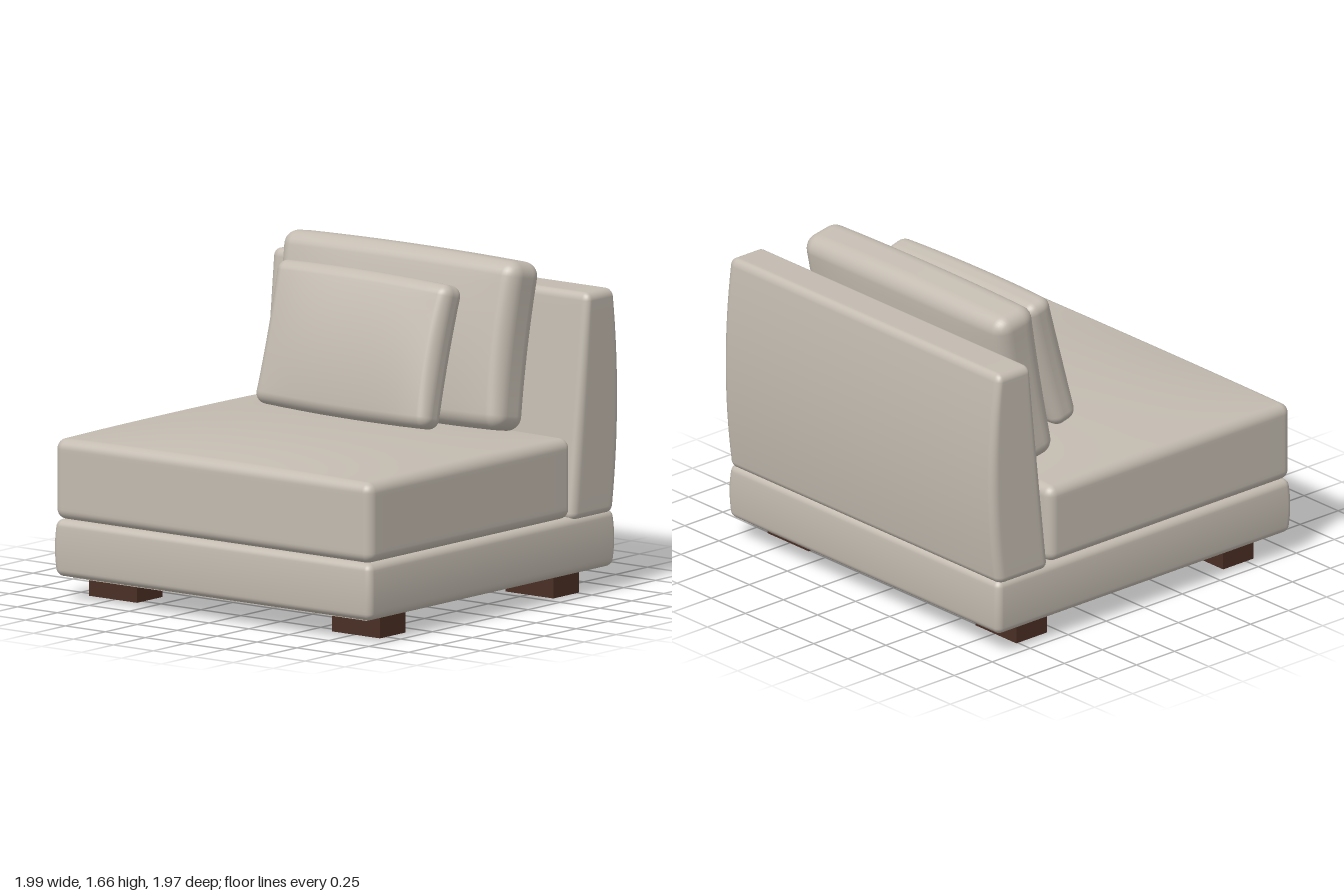
import * as THREE from 'three';
import { mergeVertices } from 'three/addons/utils/BufferGeometryUtils.js';

const SEGMENTS = 24; // per side, of which ROUND at each end form the rounded edge
const ROUND = 4;

// Rounded box with an evenly divided surface; shape(p, u, v, w) then bends each
// point, where u, v, w run from -1 to 1 across the width, height and depth.
function softBox(width, height, depth, radius, shape) {
  const half = new THREE.Vector3(width / 2, height / 2, depth / 2);
  const unit = new THREE.BoxGeometry(2, 2, 2, SEGMENTS, SEGMENTS, SEGMENTS);
  unit.deleteAttribute('normal');
  unit.deleteAttribute('uv');
  const geometry = mergeVertices(unit);
  const pos = geometry.attributes.position;
  const p = new THREE.Vector3();
  const core = new THREE.Vector3();
  const inner = half.clone().subScalar(radius);
  const outer = inner.clone().negate();

  const spread = (t, h) => {
    const steps = Math.abs(t) * SEGMENTS / 2;
    const fromEdge = SEGMENTS / 2 - steps;
    const distance = fromEdge < ROUND
      ? h - radius + radius * Math.tan(Math.PI / 4 * (1 - fromEdge / ROUND))
      : (h - radius) * steps / (SEGMENTS / 2 - ROUND);
    return Math.sign(t) * distance;
  };

  for (let i = 0; i < pos.count; i++) {
    p.fromBufferAttribute(pos, i);
    p.set(spread(p.x, half.x), spread(p.y, half.y), spread(p.z, half.z));
    core.copy(p).clamp(outer, inner);
    p.sub(core).setLength(radius).add(core);
    shape(p, p.x / half.x, p.y / half.y, p.z / half.z);
    pos.setXYZ(i, p.x, p.y, p.z);
  }
  geometry.computeVertexNormals();
  return geometry;
}

// Loose cushion: swollen in the middle with slightly drawn-in sides
function cushion(width, height, depth, radius, swell) {
  return softBox(width, height, depth, radius, (p, u, v, w) => {
    p.z += w * swell * (1 - u ** 4) * (1 - v * v);
    p.x *= 1 - 0.022 * (1 - v * v);
    p.y += v * 0.012 * (1 - u * u);
  });
}

export function createModel() {
  const model = new THREE.Group();
  const fabric = new THREE.MeshStandardMaterial({ color: 0xc3bbb0 });
  fabric.name = 'fabric';
  const wood = new THREE.MeshStandardMaterial({ color: 0x4a2e24 });
  wood.name = 'darkWood';

  const add = (name, geometry, material, x, y, z) => {
    const mesh = new THREE.Mesh(geometry, material);
    mesh.name = name;
    mesh.position.set(x, y, z);
    model.add(mesh);
    return mesh;
  };

  // Base with gently bulging sides
  add('base', softBox(1.97, 0.285, 1.92, 0.035, (p, u, v) => {
    const bulge = 1 + 0.01 * (1 - v * v);
    p.x *= bulge;
    p.z *= bulge;
  }), fabric, 0, 0.2575, 0.015);
  add('underside', new THREE.BoxGeometry(1.84, 0.03, 1.8), fabric, 0, 0.12, 0.015);

  // Seat cushion with a domed top
  add('seat', softBox(1.98, 0.4, 1.59, 0.05, (p, u, v, w) => {
    const dome = (1 - Math.abs(u) ** 2.4) * (1 - Math.abs(w) ** 2.4);
    p.y += Math.max(v, 0) * 0.06 * dome;
  }), fabric, 0, 0.6, 0.185);

  // Backrest: sloping front, curved rear
  add('backrest', softBox(1.98, 1.12, 0.3, 0.04, (p, u, v, w) => {
    const t = (v + 1) / 2;
    const front = THREE.MathUtils.lerp(-0.61, -0.735, t);
    const rear = -0.942 - 0.045 * (1 - v * v);
    p.z = THREE.MathUtils.lerp(rear, front, (w + 1) / 2);
  }), fabric, 0, 0.94, 0);

  // Two leaning cushions
  const large = add('backCushion', cushion(1.48, 0.83, 0.24, 0.075, 0.035),
    fabric, 0, 1.235, -0.52);
  large.rotation.x = -0.183;
  const small = add('smallCushion', cushion(1.09, 0.71, 0.15, 0.055, 0.038),
    fabric, -0.015, 1.21, -0.19);
  small.rotation.set(-0.262, 0, -0.01);

  // Four block legs
  for (const side of [-1, 1]) {
    for (const [end, z] of [['front', 0.7], ['rear', -0.66]]) {
      add(`${end}${side > 0 ? 'Left' : 'Right'}Leg`,
        new THREE.BoxGeometry(0.3, 0.12, 0.2), wood, side * 0.76, 0.06, z);
    }
  }
  return model;
}
